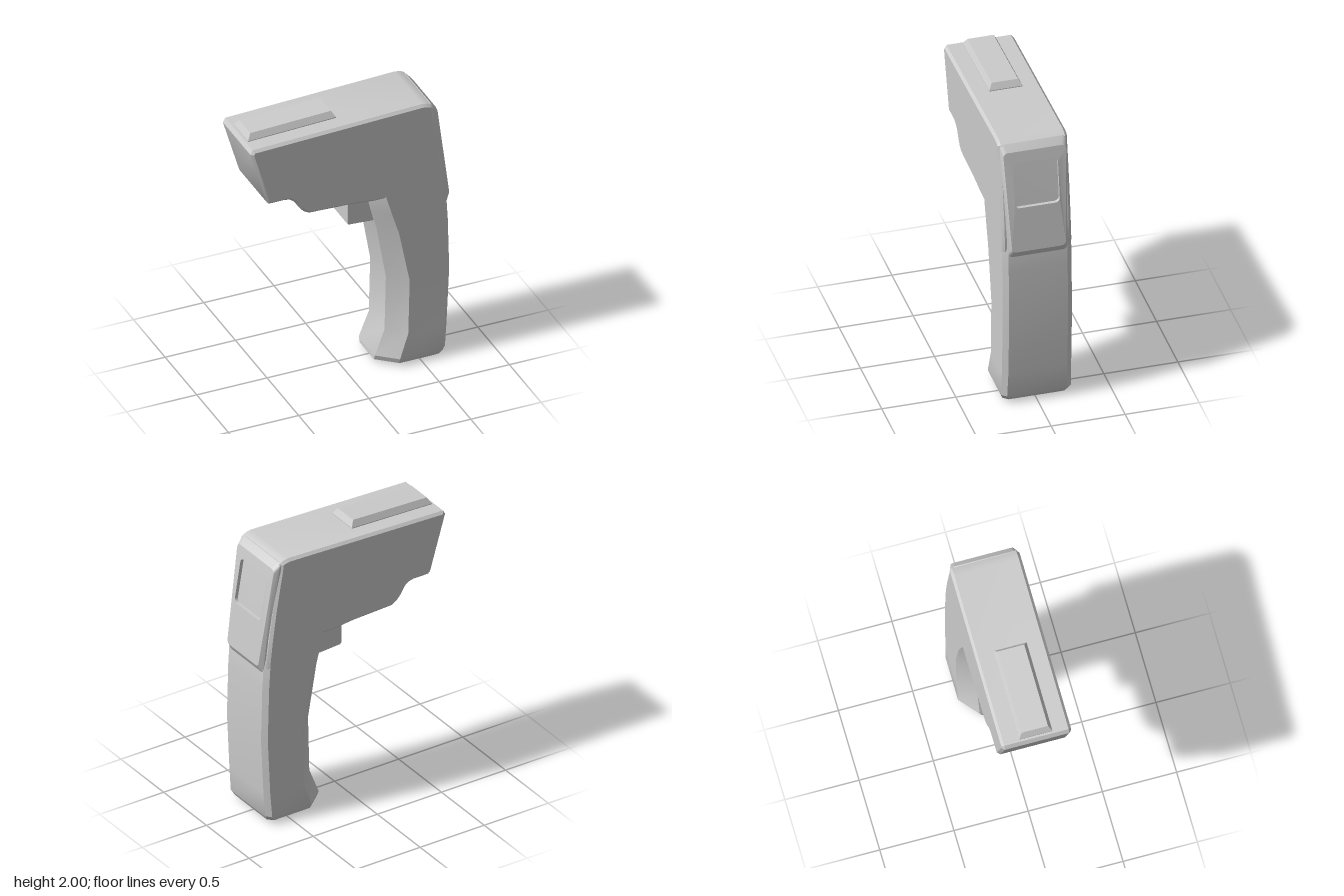
import * as THREE from 'three';
import { toCreasedNormals } from 'three/addons/utils/BufferGeometryUtils.js';

const material = new THREE.MeshStandardMaterial({ color: 0xcccccc });

function part(name, geometry, crease = 0.5) {
  const mesh = new THREE.Mesh(toCreasedNormals(geometry, crease), material);
  mesh.name = name;
  return mesh;
}

// Skin a stack of equal-length rings (counter-clockwise seen from the end) and cap both ends
function loft(rings) {
  const n = rings[0].length, pos = rings.flat(2), idx = [];
  rings.slice(1).forEach((_, r) => {
    for (let i = 0; i < n; i++) {
      const j = (i + 1) % n, a = r * n + i, b = r * n + j;
      idx.push(a, b, b + n, a, b + n, a + n);
    }
  });
  [0, rings.length - 1].forEach((r) => {
    const c = pos.length / 3;
    for (let k = 0; k < 3; k++) pos.push(rings[r].reduce((s, p) => s + p[k], 0) / n);
    for (let i = 0; i < n; i++) {
      const a = r * n + i, b = r * n + (i + 1) % n;
      idx.push(...(r ? [c, a, b] : [c, b, a]));
    }
  });
  const g = new THREE.BufferGeometry();
  g.setAttribute('position', new THREE.Float32BufferAttribute(pos, 3));
  g.setIndex(idx);
  return g;
}

// Side profile extruded across z with a small bevel that stays inside the outline
function slab(points, width, bevel) {
  const shape = new THREE.Shape(points.map(([x, y]) => new THREE.Vector2(x, y)));
  return new THREE.ExtrudeGeometry(shape, {
    depth: width - 2 * bevel, bevelThickness: bevel, bevelSize: bevel,
    bevelOffset: -bevel, bevelSegments: 1,
  }).translate(0, 0, bevel - width / 2);
}

// Gently curved rear line of the head
const backX = (y) => 0.717 - 0.094 * (y - 1.2) - 0.073 * (y - 1.2) ** 2;

// Rounded, optionally tapered rectangle lying on the rear line, sunk by inset
function rearRing(bottomHalf, topHalf, y0, y1, r, inset) {
  const ring = [], steps = 4;
  for (let q = 0; q < 4; q++) {
    const right = q === 0 || q === 3, top = q < 2;
    const half = (top ? topHalf : bottomHalf) - r;
    for (let s = 0; s <= steps; s++) {
      const a = (q + s / steps) * Math.PI / 2;
      const y = (top ? y1 - r : y0 + r) + r * Math.sin(a);
      const z = -((right ? half : -half) + r * Math.cos(a));
      ring.push([backX(y) - inset, y, z]);
    }
  }
  return ring;
}

// Grip section: wide front chamfers, narrow rear chamfers
function gripRing(y, front, side, back, half) {
  const rear = half - 0.035, nose = half - 0.11;
  const edge = [[back, rear], [back - 0.03, half], [side, half], [front, nose]];
  const ring = [[edge[0][0], y, edge[0][1]]];
  edge.forEach(([x, z]) => ring.push([x, y, -z]));
  edge.slice(1).reverse().forEach(([x, z]) => ring.push([x, y, z]));
  return ring;
}

const rectRing = (x0, y0, x1, y1, z) => [[x1, y1, z], [x1, y1, -z], [x0, y0, -z], [x0, y0, z]];

export function createModel() {
  const model = new THREE.Group();
  model.name = 'thermometerGun';

  // Head with slanted nose and stepped underside
  const rear = [1.15, 1.2, 1.4, 1.6, 1.8, 1.9].map((y) => [backX(y) - (y < 1.2 ? 0.06 : 0.04), y]);
  model.add(part('head', slab([
    [-0.717, 1.9], [-0.60, 1.505], [-0.585, 1.49], [-0.47, 1.49], [-0.435, 1.482], [-0.405, 1.46],
    [-0.37, 1.405], [-0.34, 1.37], [-0.30, 1.347], [0, 1.335], [0.165, 1.318], [0.28, 1.318],
    ...rear, [0.575, 1.95], [0.545, 1.965], [0.505, 1.972], [-0.70, 1.93],
  ], 0.47, 0.018)));

  // Rear panel with recessed screen
  model.add(part('rearPanel', loft([
    rearRing(0.2, 0.225, 1.15, 1.955, 0.03, 0.08),
    rearRing(0.2, 0.225, 1.15, 1.955, 0.03, 0.032),
    rearRing(0.182, 0.212, 1.2, 1.91, 0.03, 0),
    rearRing(0.152, 0.152, 1.515, 1.83, 0.03, 0),
    rearRing(0.152, 0.152, 1.515, 1.83, 0.03, 0.024),
  ]), 0.4));

  // Curved grip, bottom to top
  model.add(part('grip', loft([
    [0.004, 0.27, 0.36, 0.62, 0.19],
    [0.028, 0.21, 0.34, 0.655, 0.222],
    [0.065, 0.21, 0.34, 0.675, 0.238],
    [0.245, 0.28, 0.40, 0.688, 0.234],
    [0.65, 0.29, 0.41, 0.707, 0.234],
    [1.03, 0.225, 0.335, 0.697, 0.234],
    [1.18, 0.187, 0.288, 0.688, 0.234],
    [1.325, 0.15, 0.245, 0.66, 0.234],
    [1.36, 0.15, 0.245, 0.64, 0.234],
  ].map((s) => gripRing(...s)))));

  // Trigger
  model.add(part('trigger', slab([
    [0.02, 1.38], [0.02, 1.118], [0.03, 1.107], [0.28, 1.09], [0.28, 1.38],
  ], 0.23, 0.006)));

  // Chamfered sighting rail
  model.add(part('topRail', loft([
    rectRing(-0.685, 1.92, -0.06, 1.94, 0.112),
    rectRing(-0.685, 1.935, -0.06, 1.958, 0.112),
    rectRing(-0.66, 1.978, -0.085, 2, 0.089),
  ]), 0.2));

  return model;
}
